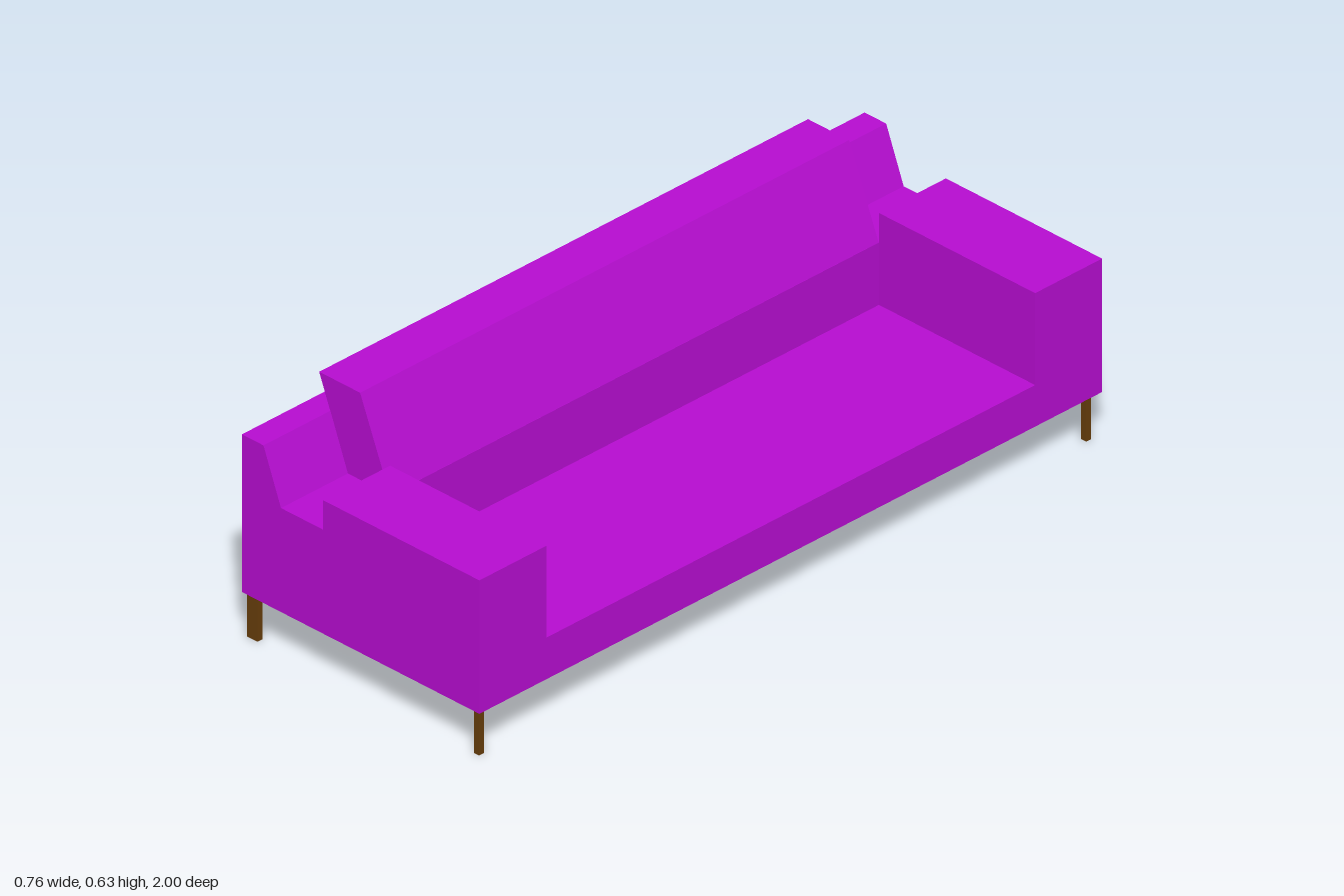
import * as THREE from 'three';

const purple = new THREE.MeshStandardMaterial({ color: 0xb60dd0 });
purple.name = 'purple upholstery';
const brown = new THREE.MeshStandardMaterial({ color: 0x663d0b });
brown.name = 'brown leg';

const INNER = 0.785; // half length of the seat between the arms

// Side profile (x, y) extruded along z between z0 and z1
function extrudeProfile(name, points, z0, z1) {
  const shape = new THREE.Shape(points.map(([x, y]) => new THREE.Vector2(x, y)));
  const geometry = new THREE.ExtrudeGeometry(shape, { depth: z1 - z0, bevelEnabled: false });
  geometry.translate(0, 0, z0);
  const mesh = new THREE.Mesh(geometry, purple);
  mesh.name = name;
  return mesh;
}

// Box given by its limits on each axis
function box(name, material, [x0, x1], [y0, y1], [z0, z1]) {
  const mesh = new THREE.Mesh(new THREE.BoxGeometry(x1 - x0, y1 - y0, z1 - z0), material);
  mesh.position.set((x0 + x1) / 2, (y0 + y1) / 2, (z0 + z1) / 2);
  mesh.name = name;
  return mesh;
}

export function createModel() {
  const sofa = new THREE.Group();
  sofa.name = 'sofa';

  // Arms, notched where the backrest slots in
  const armProfile = [
    [-0.38, 0.125], [0.38, 0.125], [0.38, 0.478], [-0.12, 0.478],
    [-0.12, 0.4], [-0.255, 0.4], [-0.311, 0.542], [-0.38, 0.542],
  ];
  sofa.add(extrudeProfile('leftArm', armProfile, INNER, 1));
  sofa.add(extrudeProfile('rightArm', armProfile, -1, -INNER));

  // Seat between the arms
  sofa.add(box('seat', purple, [-0.12, 0.38], [0.125, 0.235], [-INNER, INNER]));

  // Back wall with its sloped inner face
  sofa.add(extrudeProfile('backWall', [
    [-0.38, 0.125], [-0.12, 0.125], [-0.12, 0.4], [-0.255, 0.4], [-0.311, 0.542], [-0.38, 0.542],
  ], -INNER, INNER));

  // Leaning backrest
  sofa.add(extrudeProfile('backrest', [
    [-0.255, 0.4], [-0.121, 0.4], [-0.216, 0.63], [-0.347, 0.63],
  ], -INNER, INNER));

  // Corner legs, each with a flat mounting plate
  for (const side of [1, -1]) {
    const zRange = (inner, outer) => (side > 0 ? [inner, outer] : [-outer, -inner]);
    const label = side > 0 ? 'Left' : 'Right';
    sofa.add(box('front' + label + 'Leg', brown, [0.346, 0.362], [0, 0.125], zRange(0.967, 0.983)));
    sofa.add(box('front' + label + 'Plate', brown, [0.241, 0.362], [0.113, 0.125], zRange(0.86, 0.983)));
    sofa.add(box('back' + label + 'Leg', brown, [-0.381, -0.347], [0, 0.125], zRange(0.967, 0.983)));
    sofa.add(box('back' + label + 'Plate', brown, [-0.381, -0.255], [0.111, 0.125], zRange(0.86, 0.983)));
  }
  return sofa;
}
